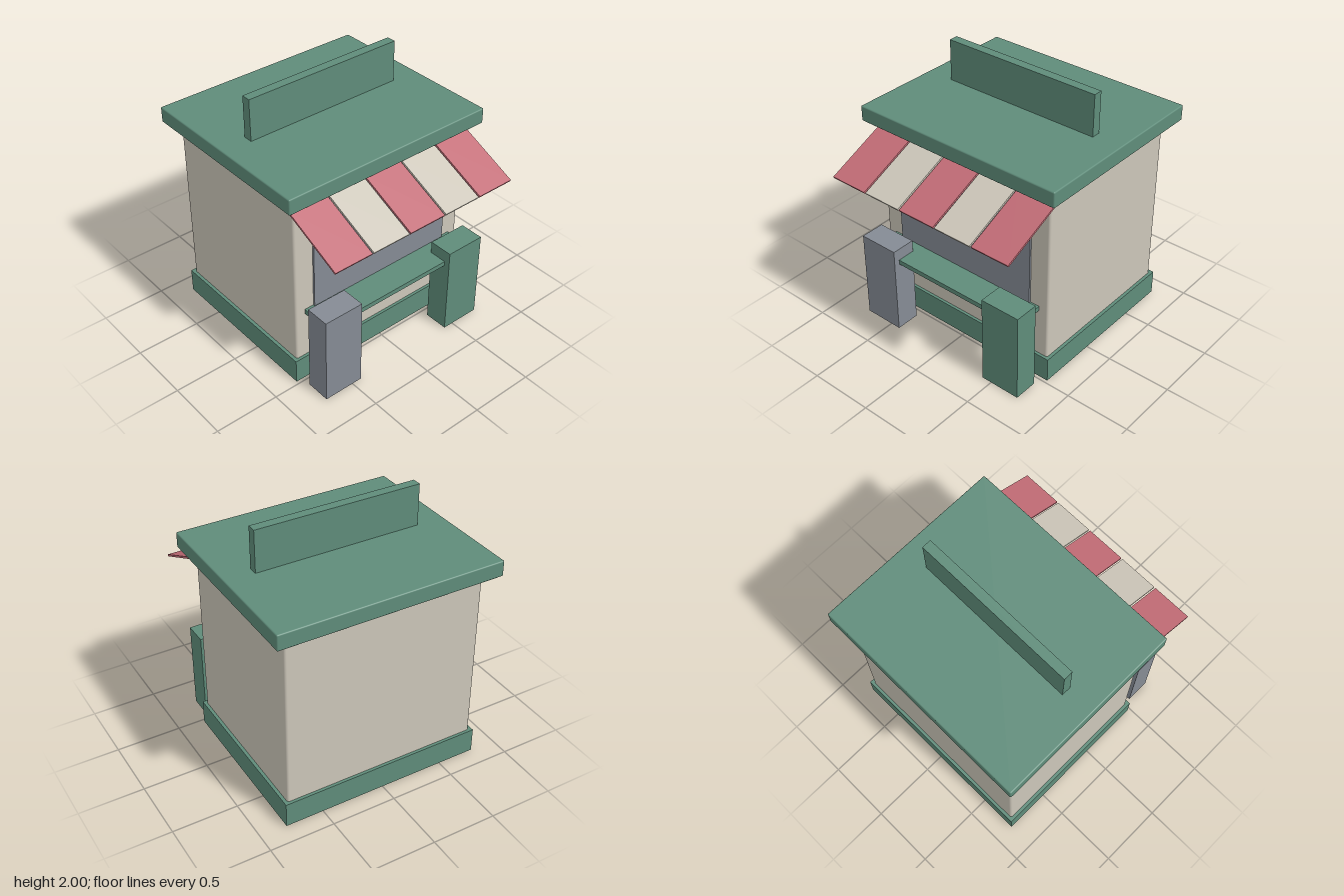
import * as THREE from 'three';
import { RoundedBoxGeometry } from 'three/addons/geometries/RoundedBoxGeometry.js';

const mat = (name, color) => {
  const m = new THREE.MeshStandardMaterial({ color });
  m.name = name;
  return m;
};

export function createModel() {
  const green = mat('green', 0x5f8c7a);
  const cream = mat('cream', 0xccc6b9);
  const grey = mat('grey', 0x858b94);
  const red = mat('red', 0xc26c76);
  const model = new THREE.Group();
  model.name = 'kiosk';

  // Box given by its extents; a radius rounds the edges
  const box = (name, material, [x0, x1], [y0, y1], [z0, z1], radius = 0) => {
    const size = [x1 - x0, y1 - y0, z1 - z0];
    const geometry = radius
      ? new RoundedBoxGeometry(...size, 3, radius)
      : new THREE.BoxGeometry(...size);
    const mesh = new THREE.Mesh(geometry, material);
    mesh.name = name;
    mesh.position.set((x0 + x1) / 2, (y0 + y1) / 2, (z0 + z1) / 2);
    model.add(mesh);
    return mesh;
  };

  // Hut
  box('walls', cream, [-0.83, 0.455], [0, 1.55], [-0.77, 0.77], 0.018);
  box('plinth', green, [-0.853, 0.477], [0.002, 0.195], [-0.795, 0.795]);
  box('roof', green, [-0.925, 0.552], [1.555, 1.677], [-0.868, 0.868], 0.01);
  box('roofSign', green, [-0.222, -0.15], [1.67, 2], [-0.645, 0.645]);

  // Serving side
  box('servingHatch', grey, [0.44, 0.47], [0.59, 1.29], [-0.613, 0.613]);
  box('counter', green, [0.44, 0.7], [0.578, 0.615], [-0.69, 0.69]);
  box('greyBin', grey, [0.557, 0.747], [0, 0.71], [0.42, 0.74]);
  box('greenBin', green, [0.557, 0.747], [0, 0.71], [-0.74, -0.42]);

  // Sloping striped awning
  const inner = new THREE.Vector2(0.45, 1.493), outer = new THREE.Vector2(0.917, 1.282);
  const length = inner.distanceTo(outer);
  const slope = Math.atan2(outer.y - inner.y, outer.x - inner.x);
  for (let i = -2; i <= 2; i++) {
    const z = i * 0.322;
    const strip = box('awningStrip', i % 2 ? cream : red,
      [0, length], [0, 0.015], [z - 0.155, z + 0.155]);
    strip.position.set((inner.x + outer.x) / 2, (inner.y + outer.y) / 2, z);
    strip.rotation.z = slope;
  }
  return model;
}
